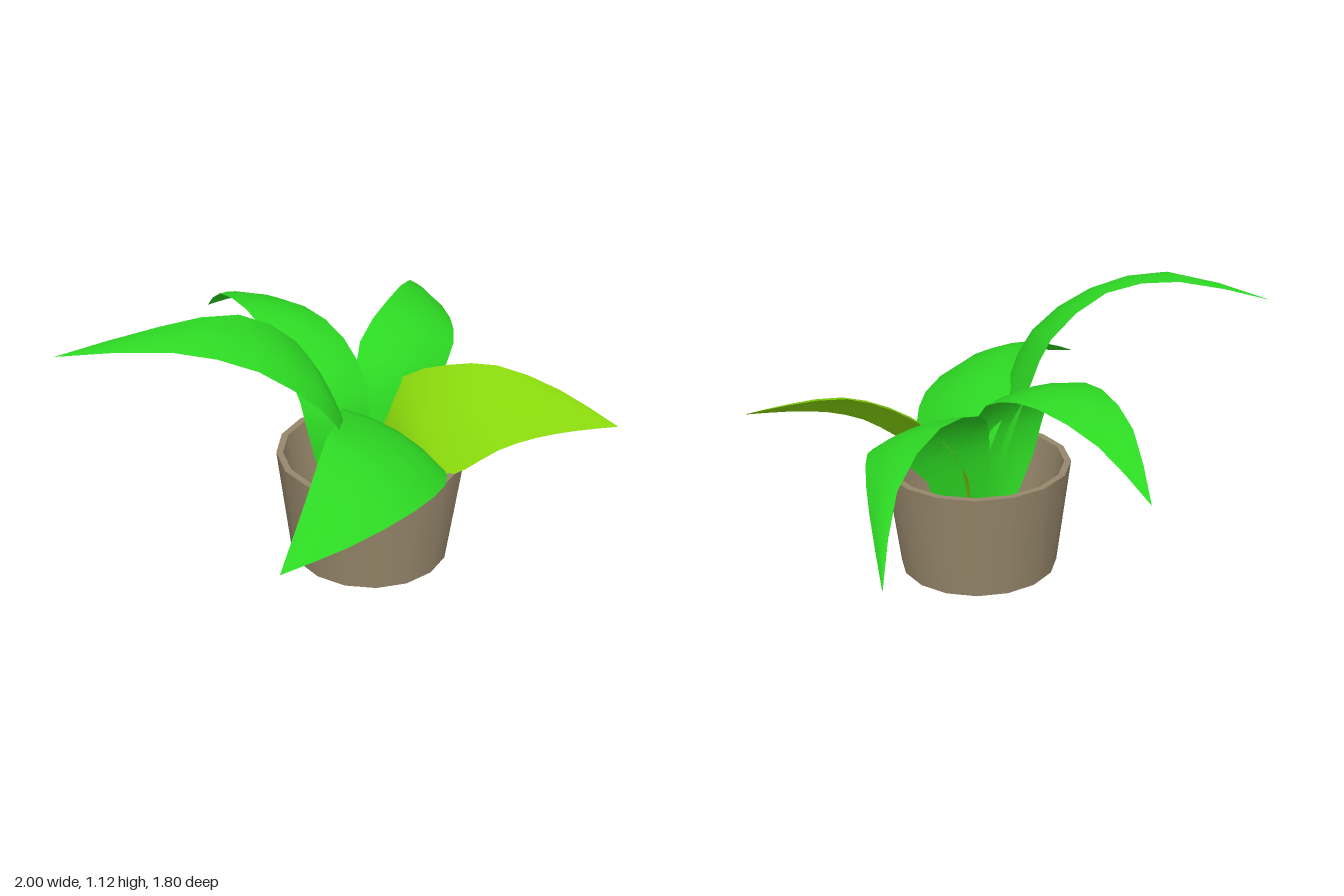
import * as THREE from 'three';
import { mergeGeometries } from 'three/addons/utils/BufferGeometryUtils.js';

const mat = (name, color, side = THREE.FrontSide) => {
  const m = new THREE.MeshStandardMaterial({ color, side });
  m.name = name;
  return m;
};

// Hollow pot: one lathe per profile segment keeps the rim edges sharp
function potGeometry() {
  const profile = [[0, 0], [0.315, 0], [0.372, 0.44], [0.345, 0.44], [0.288, 0.04], [0, 0.04]]
    .map(([r, y]) => new THREE.Vector2(r, y));
  const parts = profile.slice(1).map((p, i) => new THREE.LatheGeometry([profile[i], p], 16));
  return mergeGeometries(parts);
}

// Arched blade between two edge curves, running from base to a shared tip
function leafGeometry(left, right, tip) {
  const ROWS = 12, COLS = 4, ARCH = 0.08;
  const curve = (pts) => new THREE.CatmullRomCurve3([...pts, tip].map((p) => new THREE.Vector3(...p)));
  const a = curve(left), b = curve(right);
  const pos = [], index = [];
  for (let i = 0; i <= ROWS; i++) {
    const t = i / ROWS;
    const l = a.getPoint(t), r = b.getPoint(t);
    const across = r.clone().sub(l);
    const width = across.length();
    const along = a.getTangent(t).add(b.getTangent(t));
    const bulge = across.cross(along).normalize().multiplyScalar(width * ARCH);
    for (let j = 0; j <= COLS; j++) {
      const s = j / COLS;
      const p = l.clone().lerp(r, s).addScaledVector(bulge, 4 * s * (1 - s));
      pos.push(p.x, p.y, p.z);
      if (i < ROWS && j < COLS) {
        const k = i * (COLS + 1) + j, n = k + COLS + 1;
        index.push(k, k + 1, n);
        if (i < ROWS - 1) index.push(k + 1, n + 1, n);
      }
    }
  }
  const g = new THREE.BufferGeometry();
  g.setAttribute('position', new THREE.Float32BufferAttribute(pos, 3));
  g.setIndex(index);
  g.computeVertexNormals();
  return g;
}

export function createModel() {
  const group = new THREE.Group();
  group.name = 'pottedPlant';
  const clay = mat('clay', 0x96876b);
  const green = mat('leafGreen', 0x2dd823, THREE.DoubleSide);
  const lime = mat('limeGreen', 0x88d60c, THREE.DoubleSide);

  const add = (name, geometry, material) => {
    const mesh = new THREE.Mesh(geometry, material);
    mesh.name = name;
    group.add(mesh);
    return mesh;
  };

  add('pot', potGeometry(), clay).position.set(0.183, 0, 0.15);

  // Each leaf: left edge, right edge (looking outward), tip
  add('tallRightLeaf', leafGeometry(
    [[0.14, 0.05, 0.2], [0.08, 0.44, 0.3], [-0.06, 0.68, 0.41], [-0.17, 0.84, 0.435], [-0.38, 1.01, 0.35], [-0.66, 1.095, 0.23]],
    [[0.16, 0.05, 0.13], [0.07, 0.5, 0.1], [-0.02, 0.76, 0.085], [-0.1, 0.94, 0.07], [-0.33, 1.1, 0.065], [-0.64, 1.11, 0.05]],
    [-1, 1.02, -0.06]), green);

  add('frontRightLeaf', leafGeometry(
    [[0.28, 0.05, 0.26], [0.335, 0.4, 0.44], [0.32, 0.49, 0.49], [0.22, 0.55, 0.66], [0, 0.59, 0.82], [-0.3, 0.575, 0.9]],
    [[0.2, 0.05, 0.16], [0.15, 0.5, 0.1], [0.06, 0.65, 0.14], [-0.03, 0.71, 0.3], [-0.17, 0.755, 0.47], [-0.35, 0.675, 0.68]],
    [-0.56, 0.54, 0.9]), green);

  add('frontLeftLeaf', leafGeometry(
    [[0.22, 0.05, 0.1], [0.3, 0.47, -0.05], [0.4, 0.64, 0], [0.53, 0.72, 0.12], [0.68, 0.745, 0.25], [0.86, 0.68, 0.43]],
    [[0.24, 0.05, 0.18], [0.33, 0.4, 0.42], [0.42, 0.46, 0.47], [0.54, 0.535, 0.51], [0.68, 0.575, 0.55], [0.84, 0.587, 0.59]],
    [1, 0.585, 0.63]), lime);

  add('backRightLeaf', leafGeometry(
    [[0.12, 0.05, 0.13], [-0.05, 0.44, 0.13], [-0.09, 0.68, 0.08], [-0.1, 0.82, -0.1], [-0.115, 0.89, -0.36], [-0.11, 0.84, -0.64]],
    [[0.17, 0.05, 0.13], [0.17, 0.44, 0.13], [0.205, 0.66, 0.08], [0.2, 0.8, -0.13], [0.14, 0.85, -0.36], [0.03, 0.8, -0.65]],
    [-0.06, 0.665, -0.9]), green);

  add('backLeftLeaf', leafGeometry(
    [[0.18, 0.05, 0.1], [0.18, 0.45, 0.03], [0.2, 0.64, -0.02], [0.28, 0.76, -0.14], [0.5, 0.82, -0.32], [0.76, 0.74, -0.6]],
    [[0.22, 0.05, 0.13], [0.42, 0.42, 0.06], [0.56, 0.57, 0], [0.69, 0.68, -0.1], [0.77, 0.705, -0.27], [0.85, 0.65, -0.56]],
    [0.9, 0.5, -0.84]), green);

  return group;
}
